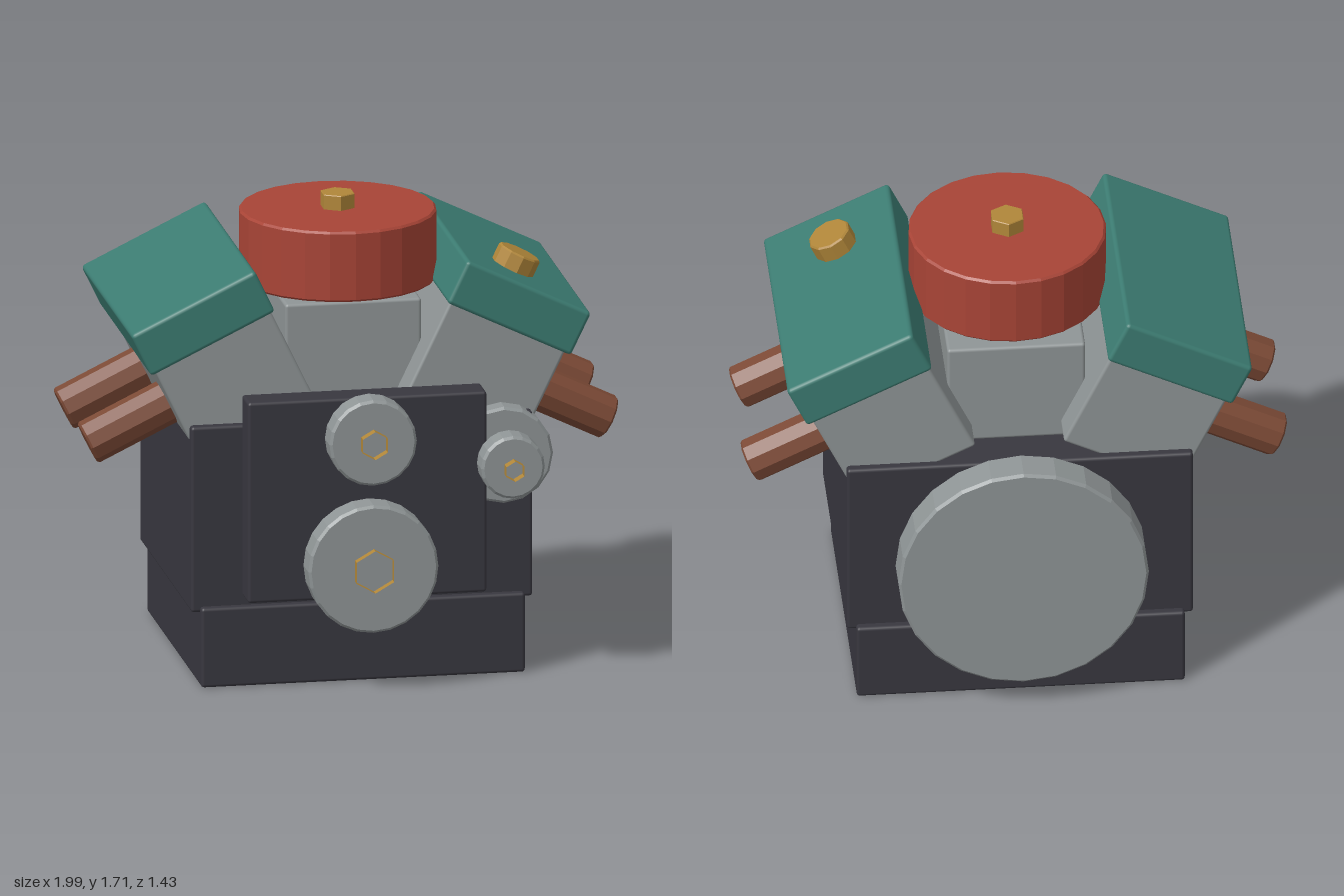
import * as THREE from 'three';
import { RoundedBoxGeometry } from 'three/addons/geometries/RoundedBoxGeometry.js';

const paint = (name, color) => {
  const m = new THREE.MeshStandardMaterial({ color });
  m.name = name;
  return m;
};

export function createModel() {
  const iron = paint('dark iron', 0x38373f);
  const alloy = paint('grey alloy', 0x8f9596);
  const green = paint('green enamel', 0x3c7c72);
  const red = paint('red enamel', 0xa84436);
  const copper = paint('brown copper', 0x7c4a36);
  const brass = paint('brass', 0xb08639);
  const brassOpen = paint('open brass', 0xb08639);
  brassOpen.side = THREE.DoubleSide;

  const engine = new THREE.Group();
  engine.name = 'engine';

  const add = (parent, name, geometry, material, x, y, z) => {
    const mesh = new THREE.Mesh(geometry, material);
    mesh.name = name;
    mesh.position.set(x, y, z);
    parent.add(mesh);
    return mesh;
  };
  const box = (w, h, d, r = 0.012) => new RoundedBoxGeometry(w, h, d, 2, r);

  // Faceted cylinder with slightly bevelled rims, centred, axis along y
  const disc = (r, h, sides, bevel = 0.01) => {
    const profile = [[0, -h / 2], [r - bevel, -h / 2], [r, -h / 2 + bevel],
      [r, h / 2 - bevel], [r - bevel, h / 2], [0, h / 2]]
      .map(([x, y]) => new THREE.Vector2(x, y));
    const g = new THREE.LatheGeometry(profile, sides).toNonIndexed();
    g.computeVertexNormals();
    return g;
  };
  // The same, turned to run along z between two depths
  const discZ = (name, r, y, z0, z1, sides, x = 0) =>
    add(engine, name, disc(r, z1 - z0, sides).rotateX(Math.PI / 2), alloy, x, y, (z0 + z1) / 2);
  // Hollow hexagonal nut along z
  const nutZ = (name, r, y, z0, z1, x = 0) => {
    const g = new THREE.CylinderGeometry(r, r, z1 - z0, 6, 1, true).toNonIndexed();
    g.computeVertexNormals();
    add(engine, name, g.rotateX(Math.PI / 2), brassOpen, x, y, (z0 + z1) / 2);
  };

  // Block, sump and front cover
  add(engine, 'oilPan', box(1.2, 0.3, 1.075), iron, 0, 0.152, -0.058);
  add(engine, 'engineBlock', box(1.265, 0.7, 1.015), iron, 0, 0.63, -0.057);
  add(engine, 'timingCover', box(0.885, 0.758, 0.125), iron, 0, 0.713, 0.497);

  // Two tilted cylinder banks
  const tilt = 0.45;
  for (const side of [1, -1]) {
    const bank = new THREE.Group();
    bank.name = side > 0 ? 'leftBank' : 'rightBank';
    bank.position.set(side * 0.586, 1.366, -0.057);
    bank.rotation.z = -side * tilt;
    engine.add(bank);
    add(bank, 'valveCover', box(0.51, 0.175, 0.995, 0.015), green, 0, 0, 0);
    add(bank, 'cylinderHead', box(0.476, 0.42, 0.95), alloy, -side * 0.004, -0.27, 0);
    for (const z of [0.233, -0.243]) {
      const pipe = disc(0.083, 0.42, 10, 0.008).rotateZ(-side * Math.PI / 2);
      add(bank, 'exhaustPipe', pipe, copper, side * 0.35, -0.286, z);
    }
    if (side > 0) add(bank, 'oilCap', disc(0.082, 0.08, 10, 0.006), brass, -0.02, 0.113, 0.25);
  }

  // Intake and air cleaner
  add(engine, 'intakeManifold', box(0.505, 0.4, 0.69), alloy, 0, 1.18, -0.062);
  add(engine, 'airCleaner', disc(0.361, 0.265, 24, 0.008), red, 0, 1.522, -0.03);
  add(engine, 'airCleanerBolt', disc(0.066, 0.07, 6, 0.003), brass, 0, 1.675, -0.03);

  // Flywheel and belt pulleys
  discZ('flywheel', 0.458, 0.567, -0.715, -0.577, 24);
  discZ('crankPulley', 0.241, 0.475, 0.568, 0.685, 24);
  nutZ('crankNut', 0.08, 0.473, 0.68, 0.717);
  discZ('waterPumpPulley', 0.162, 0.95, 0.57, 0.68, 20);
  nutZ('waterPumpNut', 0.053, 0.95, 0.675, 0.717);

  // Alternator on the left side
  discZ('alternatorBody', 0.182, 0.828, 0.12, 0.492, 16, 0.52);
  discZ('alternatorPulley', 0.118, 0.826, 0.557, 0.66, 20, 0.522);
  nutZ('alternatorNut', 0.038, 0.822, 0.655, 0.7, 0.522);

  return engine;
}
